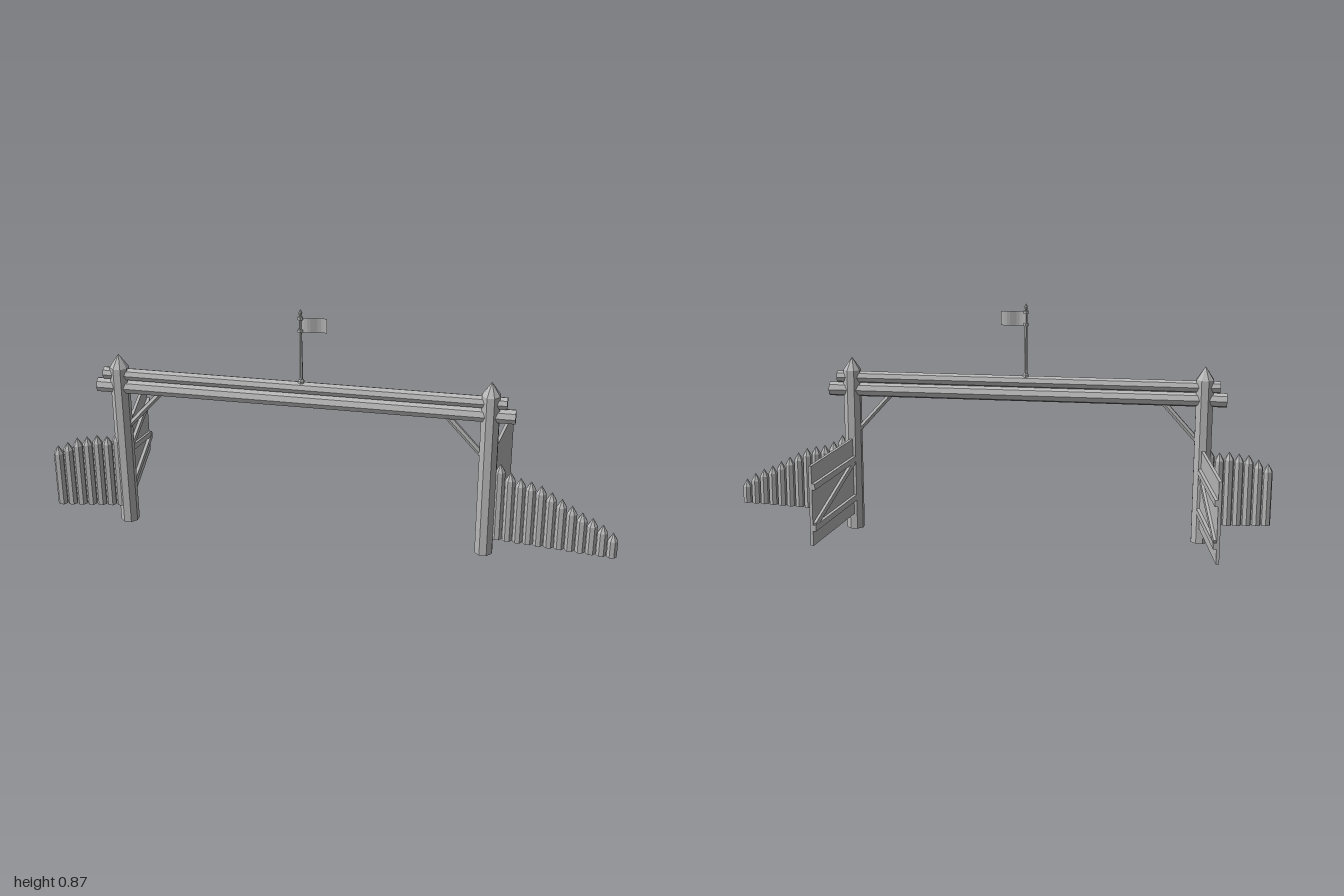
import * as THREE from 'three';

const grey = new THREE.MeshStandardMaterial({ color: 0xb8b8b8, flatShading: true });
grey.name = 'plain grey';
const clothGrey = grey.clone();
clothGrey.name = 'plain grey cloth';
clothGrey.side = THREE.DoubleSide;

export function createModel() {
  const model = new THREE.Group();
  model.name = 'palisadeGate';
  const Z = 0.175;
  const up = new THREE.Vector3(0, 1, 0);

  function add(name, geometry, x, y, z, parent = model) {
    const mesh = new THREE.Mesh(geometry, grey);
    mesh.name = name;
    mesh.position.set(x, y, z);
    parent.add(mesh);
    return mesh;
  }

  // Faceted upright log with a pointed top
  function stake(name, x, z, bottom, shoulder, tip, radius, sides) {
    const profile = [[0, bottom], [radius, bottom], [radius, shoulder], [0, tip]]
      .map(([r, y]) => new THREE.Vector2(r, y));
    const mesh = add(name, new THREE.LatheGeometry(profile, sides), x, 0, z);
    mesh.rotation.y = Math.PI / sides;
    return mesh;
  }

  // Faceted log between two points
  function log(name, a, b, radius, sides = 8) {
    const from = new THREE.Vector3(...a), to = new THREE.Vector3(...b);
    const dir = to.clone().sub(from);
    const mid = from.add(to).multiplyScalar(0.5);
    const mesh = add(name, new THREE.CylinderGeometry(radius, radius, dir.length(), sides), mid.x, mid.y, mid.z);
    mesh.quaternion.setFromUnitVectors(up, dir.normalize());
    return mesh;
  }

  // Crossbeams
  log('lowerBeam', [-0.825, 0.533, Z], [0.63, 0.533, Z], 0.026);
  log('upperBeam', [-0.8, 0.58, Z], [0.6, 0.58, Z], 0.022);

  // Posts, diagonal braces and open gate leaves
  for (const [side, x] of [[-1, -0.745], [1, 0.545]]) {
    stake('gatePost', x, Z, 0, 0.607, 0.655, 0.033, 8);
    log('brace', [x - side * 0.022, 0.382, Z], [x - side * 0.145, 0.518, Z], 0.011, 6);

    const leaf = new THREE.Group();
    leaf.name = 'gateLeaf';
    leaf.position.set(x, 0, 0.14);
    leaf.rotation.y = -side * Math.atan2(0.055, 0.385);
    model.add(leaf);
    const length = 0.387, inner = -side * 0.009;
    add('gatePanel', new THREE.BoxGeometry(0.011, 0.29, length), side * 0.002, 0.205, -length / 2, leaf);
    for (const y of [0.125, 0.275]) {
      add('gateRail', new THREE.BoxGeometry(0.012, 0.022, length), inner, y, -length / 2, leaf);
    }
    // Runs from the hinge top down to the free end
    const diagonal = add('gateDiagonal', new THREE.BoxGeometry(0.01, 0.02, 0.395), inner, 0.2, -length / 2, leaf);
    diagonal.rotation.x = -Math.atan2(0.13, 0.37);
  }

  // Palisade fences
  const leftTops = [0.155, 0.18, 0.2, 0.215, 0.235, 0.255, 0.275, 0.295, 0.305, 0.312, 0.328, 0.355];
  leftTops.forEach((top, i) => {
    stake('leftStake', 0.983 - i * 0.0358, 0.228 - i * 0.0045, 0.062, top - 0.03, top, 0.018, 7);
  });
  const rightTops = [0.295, 0.31, 0.328, 0.333, 0.34, 0.337, 0.352];
  rightTops.forEach((top, i) => {
    stake('rightStake', -0.983 + i * 0.0353, 0.212 - i * 0.005, 0.062, top - 0.03, top, 0.018, 7);
  });

  // Flagpole with collar, rings and finial
  const pole = [[0, 0.598], [0.012, 0.598], [0.012, 0.606], [0.007, 0.612], [0.0045, 0.845],
    [0.007, 0.855], [0, 0.867]].map(([r, y]) => new THREE.Vector2(r, y));
  add('flagPole', new THREE.LatheGeometry(pole, 6), -0.1, 0, Z);
  for (const y of [0.79, 0.835]) {
    add('flagRing', new THREE.CylinderGeometry(0.01, 0.01, 0.01, 6), -0.1, y, Z);
  }

  // Rippled flag
  const cloth = new THREE.PlaneGeometry(0.088, 0.052, 8, 1);
  const p = cloth.attributes.position;
  for (let i = 0; i < p.count; i++) {
    p.setZ(i, 0.005 * Math.sin((p.getX(i) + 0.044) * 72));
  }
  cloth.computeVertexNormals();
  const flag = add('flag', cloth, -0.054, 0.812, Z);
  flag.material = clothGrey;

  return model;
}
